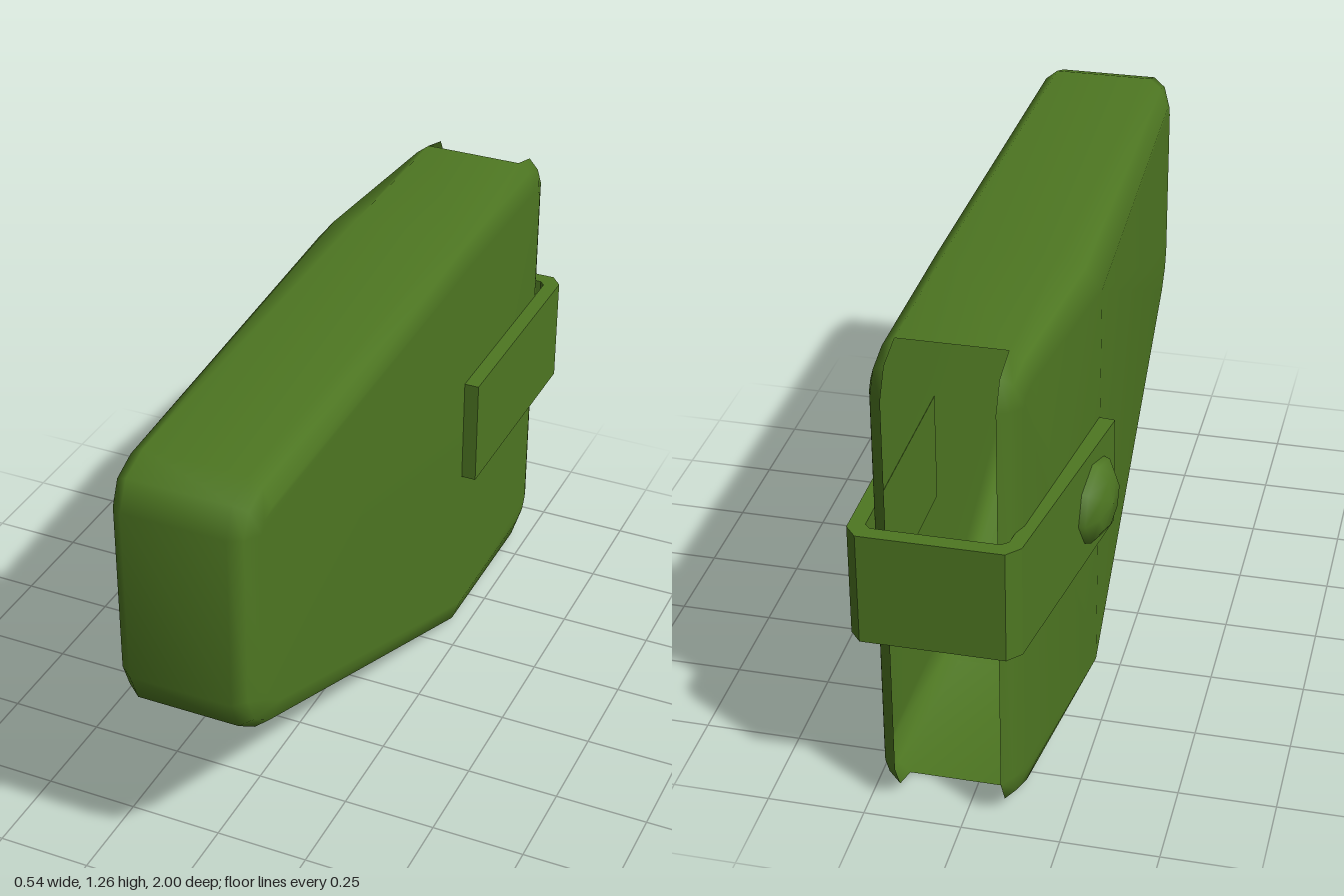
import * as THREE from 'three';

const green = new THREE.MeshStandardMaterial({ color: 0x4e7722, side: THREE.DoubleSide });
green.name = 'olive green';

// Side outline of the pouch as [z, y], running top, front, bottom, back
const OUTLINE = [
  [-0.82, 1.26], [-0.33, 1.26], [0.88, 1.235], [0.965, 1.205], [1, 1.13],
  [1, 0.66], [0.965, 0.575], [0.88, 0.51], [-0.33, 0.003], [-0.82, 0],
  [-0.91, 0.035], [-0.95, 0.11], [-0.95, 1.165], [-0.91, 1.235],
];
const BEND_TOP = 1, BEND_BOTTOM = 8, OPEN_FROM = 9;

// Moves every outline edge inward by d
function inset(points, d) {
  const n = points.length;
  const normal = (a, b) => {
    const dz = b[0] - a[0], dy = b[1] - a[1], l = Math.hypot(dz, dy);
    return [dy / l, -dz / l];
  };
  return points.map((p, i) => {
    const a = normal(points[(i + n - 1) % n], p);
    const b = normal(p, points[(i + 1) % n]);
    const k = d / (1 + a[0] * b[0] + a[1] * b[1]);
    return [p[0] + k * (a[0] + b[0]), p[1] + k * (a[1] + b[1])];
  });
}

// x of the bent side: widest at z = -0.33, tapering to both ends
function bentSide(z) {
  return z > -0.33
    ? -0.205 + 0.06 * (z + 0.33) / 1.25
    : -0.205 + 0.07 * (-0.33 - z) / 0.55;
}

// Hollow pouch with soft edges, open along the back
function pouchGeometry() {
  const bent = (t) => (z) => -0.09 + t * (bentSide(z) + 0.09);
  const rings = [
    [0.08, bent(1)], [0.025, bent(0.62)], [0, () => -0.09],
    [0, () => 0.18], [0.025, () => 0.212], [0.08, () => 0.23],
  ];
  const n = OUTLINE.length, positions = [], index = [];
  for (const [d, xAt] of rings) {
    for (const [z, y] of inset(OUTLINE, d)) positions.push(xAt(z), y, z);
  }
  for (let k = 0; k < rings.length - 1; k++) {
    for (let i = 0; i < n; i++) {
      if (k === 2 && i >= OPEN_FROM) continue; // back opening
      const j = (i + 1) % n;
      const a = k * n + i, b = k * n + j, c = b + n, e = a + n;
      index.push(a, b, c, a, c, e);
    }
  }
  // Side walls, each in two fans that meet at the bend
  const wall = (base, flip, start, count) => {
    for (let i = 1; i < count - 1; i++) {
      const a = base + start, b = base + (start + i) % n, c = base + (start + i + 1) % n;
      index.push(a, ...(flip ? [c, b] : [b, c]));
    }
  };
  for (const [base, flip] of [[0, true], [(rings.length - 1) * n, false]]) {
    wall(base, flip, BEND_TOP, BEND_BOTTOM - BEND_TOP + 1);
    wall(base, flip, BEND_BOTTOM, n - BEND_BOTTOM + BEND_TOP + 1);
  }
  const g = new THREE.BufferGeometry();
  g.setAttribute('position', new THREE.Float32BufferAttribute(positions, 3));
  g.setIndex(index);
  g.computeVertexNormals();
  return g;
}

// Closing strap: a U seen from above, as [x, z]
function strapGeometry() {
  const path = [
    [0.27, -0.33], [0.27, -0.965], [0.24, -1], [-0.12, -1], [-0.152, -0.965], [-0.245, -0.345],
    [-0.2, -0.34], [-0.117, -0.945], [-0.1, -0.96], [0.215, -0.96], [0.229, -0.945], [0.229, -0.33],
  ];
  const shape = new THREE.Shape(path.map(([x, z]) => new THREE.Vector2(x, -z)));
  const g = new THREE.ExtrudeGeometry(shape, { depth: 0.3, bevelEnabled: false });
  return g.rotateX(-Math.PI / 2).translate(0, 0.525, 0);
}

export function createModel() {
  const group = new THREE.Group();
  group.name = 'pouch';
  const add = (name, geometry) => {
    const mesh = new THREE.Mesh(geometry, green);
    mesh.name = name;
    group.add(mesh);
    return mesh;
  };
  add('pouchBody', pouchGeometry());
  add('strap', strapGeometry());

  // Domed snap button on the slanted end of the strap
  const dome = [[0.115, -0.01], [0.108, 0.018], [0.07, 0.043], [0, 0.053]];
  const button = add('snapButton', new THREE.LatheGeometry(dome.map(([r, h]) => new THREE.Vector2(r, h)), 8));
  const outward = new THREE.Vector3(-0.989, 0, -0.149);
  button.quaternion.setFromUnitVectors(new THREE.Vector3(0, 1, 0), outward);
  button.position.set(-0.222, 0.675, -0.49);
  return group;
}
